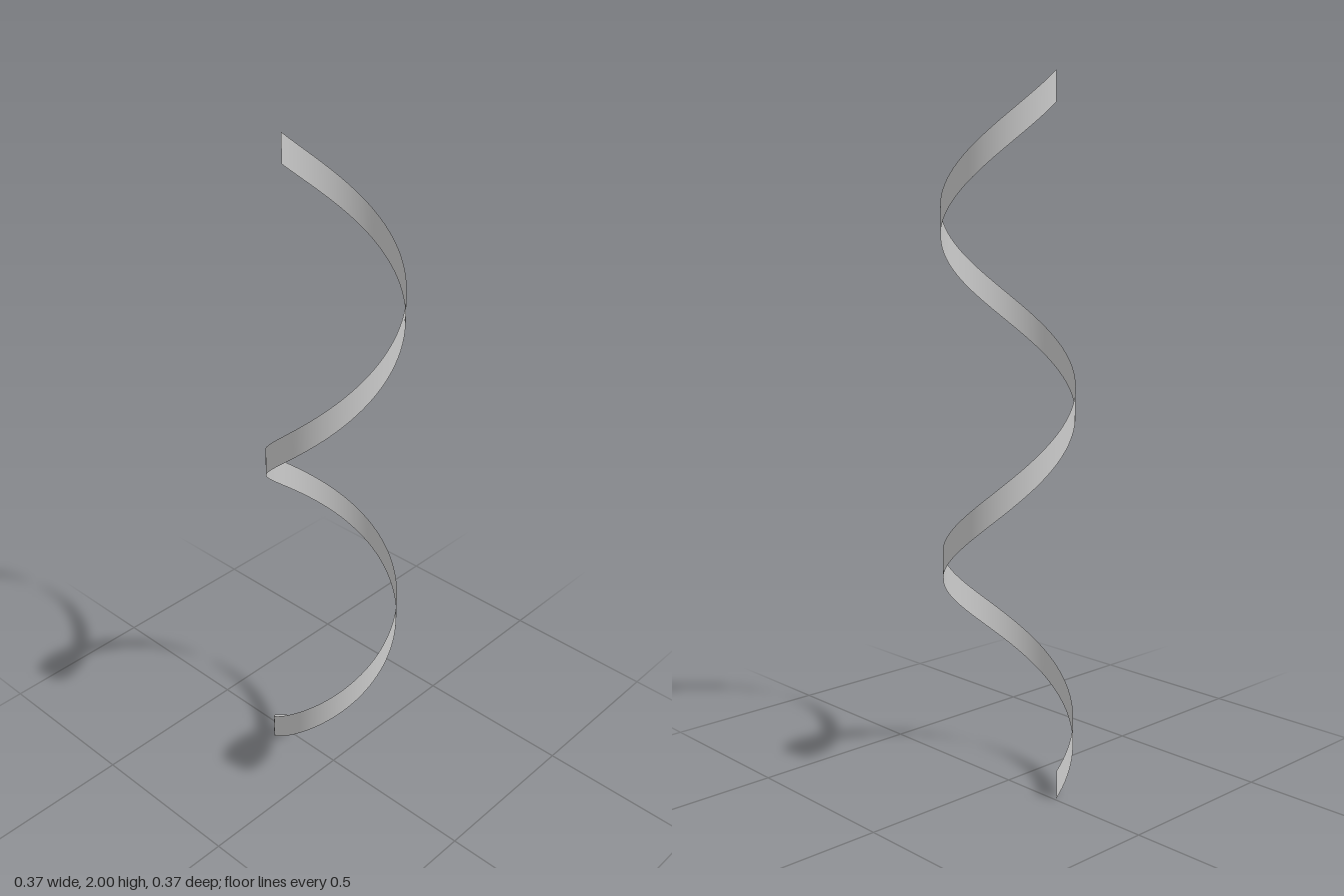
import * as THREE from 'three';

const RADIUS = 0.187;
const STRIP = 0.082;      // vertical width of the ribbon
const HEIGHT = 2;
const START = 0.04;       // small angle missing at each end of the two turns
const SEGMENTS = 160;

// Open cylinder wall wound two turns, then lifted along its length into a helix.
function helixRibbon() {
  const sweep = Math.PI * 4 - START * 2;
  const geometry = new THREE.CylinderGeometry(
    RADIUS, RADIUS, STRIP, SEGMENTS, 1, true, Math.PI + START, sweep);
  const position = geometry.attributes.position;
  const uv = geometry.attributes.uv;
  for (let i = 0; i < position.count; i++) {
    const lift = STRIP / 2 + uv.getX(i) * (HEIGHT - STRIP);
    position.setY(i, position.getY(i) + lift);
  }
  // Radial normals stay exact, since the wall remains on the cylinder.
  return geometry;
}

export function createModel() {
  const model = new THREE.Group();
  model.name = 'spiral';
  const material = new THREE.MeshStandardMaterial({ color: 0xcccccc, side: THREE.DoubleSide });
  const ribbon = new THREE.Mesh(helixRibbon(), material);
  ribbon.name = 'helixRibbon';
  model.add(ribbon);
  return model;
}
